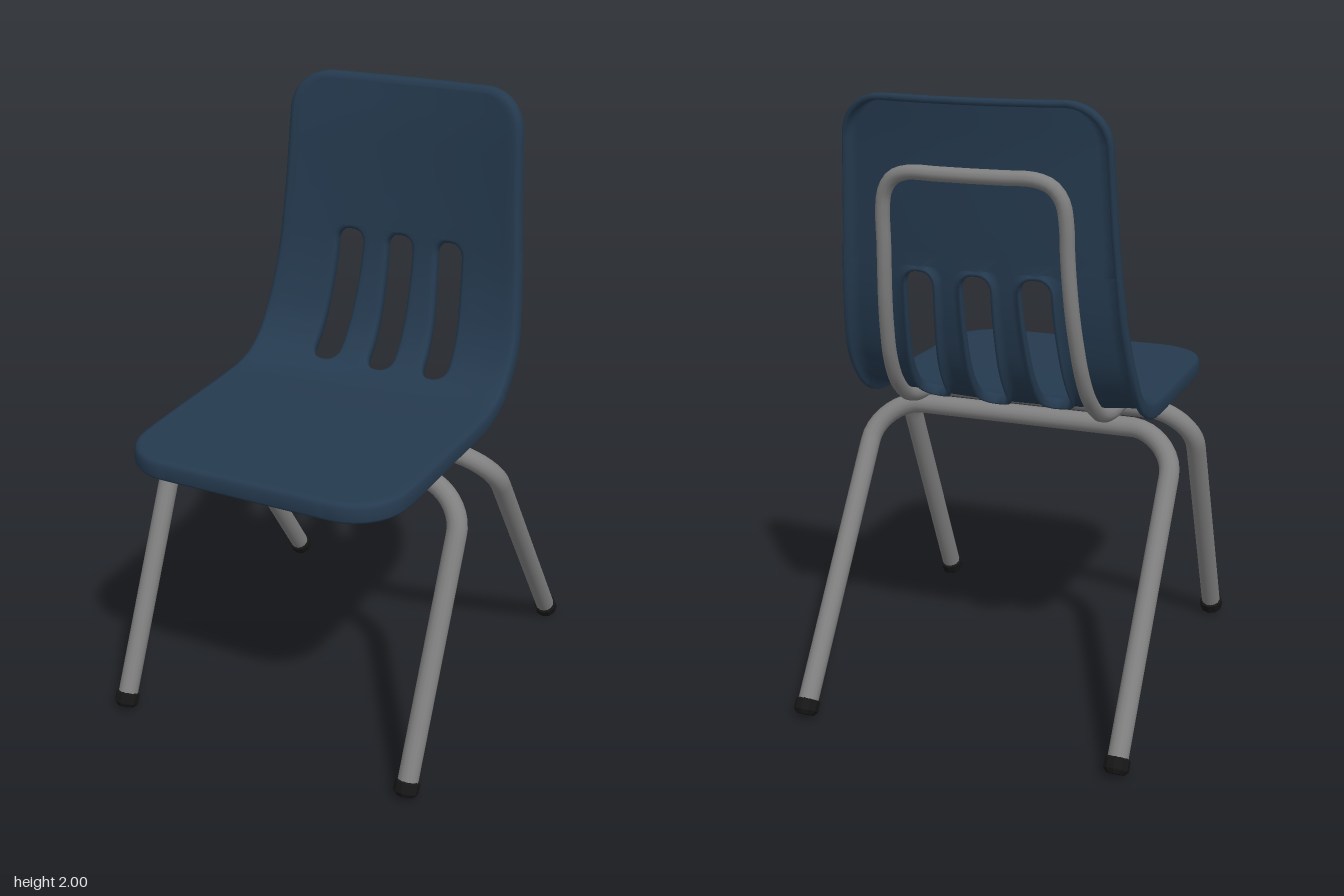
import * as THREE from 'three';

const V = (x, y, z) => new THREE.Vector3(x, y, z);
const { lerp, smoothstep } = THREE.MathUtils;

// side profile of the shell's upper surface, from seat front to top of back
const profile = new THREE.CatmullRomCurve3([
  [0.645, 1.003], [0.45, 1.008], [0.2, 1.015], [0, 1.02], [-0.1, 1.027], [-0.17, 1.047],
  [-0.24, 1.095], [-0.3, 1.18], [-0.34, 1.3], [-0.36, 1.4], [-0.375, 1.55], [-0.386, 1.7],
  [-0.396, 1.85], [-0.41, 1.98],
].map(([z, y]) => V(0, y, z)), false, 'centripetal');
profile.arcLengthDivisions = 400;
const LEN = profile.getLength();

// first distance along the profile where a test holds
function distanceWhere(test) {
  let i = 0;
  while (i < 1000 && !test(profile.getPointAt(i / 1000))) i++;
  return (i / 1000) * LEN;
}
const slotStart = distanceWhere((p) => p.z < -0.2);
const slotEnd = distanceWhere((p) => p.y > 1.485);
const SLOT_R = 0.055, FRONT_R = 0.14, TOP_R = 0.11;

// half width of the shell along the profile
const widths = [[0, 0.435], [0.2, 0.452], [0.7, 0.46], [1, 0.455], [1.2, 0.435], [1.45, 0.415], [1.9, 0.39]];
function halfWidth(s) {
  const i = Math.max(1, widths.findIndex((w) => w[0] >= s));
  const [a, wa] = widths[i - 1], [b, wb] = widths[i];
  return lerp(wa, wb, (s - a) / (b - a));
}
// inset that rounds a corner of radius r at distance e from the end
const cornerInset = (e, r) => (e >= r ? 0 : r - Math.sqrt(Math.max(0, r * r - (r - e) ** 2)));

function surfaceNormal(s) {
  const t = profile.getTangentAt(Math.min(1, s / LEN));
  return V(0, -t.z, t.y);
}
// point on the shell, with the back hollowed across its width; d is height above it
function surfacePoint(x, s, d = 0) {
  const dish = 0.035 * smoothstep(s, 0.55, 0.95) * (1 - (x / halfWidth(s)) ** 2);
  const p = profile.getPointAt(Math.min(1, s / LEN)).addScaledVector(surfaceNormal(s), d - dish);
  p.x = x;
  return p;
}

function shellGeometry() {
  // rows bunch up where corners are rounded
  const rows = [0];
  const addRows = (a, b, n, ease = (f) => f) => {
    for (let i = 1; i <= n; i++) rows.push(lerp(a, b, ease(i / n)));
  };
  const easeIn = (f) => 1 - Math.cos(f * Math.PI / 2);
  const easeOut = (f) => Math.sin(f * Math.PI / 2);
  addRows(0, FRONT_R, 7, easeIn);
  addRows(FRONT_R, slotStart, 16);
  const rowA = rows.length - 1;
  addRows(slotStart, slotStart + SLOT_R, 5, easeIn);
  addRows(slotStart + SLOT_R, slotEnd - SLOT_R, 14);
  addRows(slotEnd - SLOT_R, slotEnd, 5, easeOut);
  const rowB = rows.length - 1;
  addRows(slotEnd, LEN - TOP_R, 9);
  addRows(LEN - TOP_R, LEN, 7, easeOut);

  // seven strips across: the odd ones hold the slots
  const strips = [6, 4, 4, 4, 4, 4, 6];
  const starts = [0];
  strips.forEach((n) => starts.push(starts[starts.length - 1] + n));
  const cols = starts[7];
  const pos = [], index = [], count = rows.length * (cols + 1);
  const id = (c, r) => r * (cols + 1) + c;

  for (const depth of [0, -0.02]) {
    for (const s of rows) {
      const w = halfWidth(s) - cornerInset(s, FRONT_R) - cornerInset(LEN - s, TOP_R);
      const e = Math.min(s - slotStart, slotEnd - s);
      const hw = 0.062 - (e < -1e-6 ? 0 : cornerInset(Math.max(0, e), SLOT_R));
      const cx = lerp(0.207, 0.186, smoothstep(s, slotStart, slotEnd));
      const breaks = [-w, -cx - hw, -cx + hw, -hw, hw, cx - hw, cx + hw, w];
      strips.forEach((n, k) => {
        for (let i = 0; i < n + (k === 6 ? 1 : 0); i++) {
          pos.push(...surfacePoint(lerp(breaks[k], breaks[k + 1], i / n), s, depth).toArray());
        }
      });
    }
  }
  const quad = (a, b, c, d) => index.push(a, b, c, a, c, d);
  for (let r = 0; r < rows.length - 1; r++) {
    strips.forEach((n, k) => {
      if (k % 2 && r >= rowA && r < rowB) return;
      for (let c = starts[k]; c < starts[k + 1]; c++) {
        const q = [id(c, r), id(c + 1, r), id(c + 1, r + 1), id(c, r + 1)];
        quad(...q);
        quad(...q.map((v) => v + count).reverse());
      }
    });
  }

  // folded lip around a rectangular loop of the grid
  function lip(c0, c1, r0, r1, section, reverse) {
    const loop = [];
    for (let c = c0; c < c1; c++) loop.push([c, r0]);
    for (let r = r0; r < r1; r++) loop.push([c1, r]);
    for (let c = c1; c > c0; c--) loop.push([c, r1]);
    for (let r = r1; r > r0; r--) loop.push([c0, r]);
    if (reverse) loop.reverse();
    const at = (k) => V().fromArray(pos, 3 * id(...loop[(k + loop.length) % loop.length]));
    const rings = loop.map(([c, r], k) => {
      const s = rows[r], n = surfaceNormal(s), p = at(k);
      const out = at(k + 1).sub(at(k - 1)).cross(n).normalize();
      const scale = lerp(1, 0.7, s / LEN);
      const ring = [id(c, r)];
      for (const [o, d] of section) {
        ring.push(pos.length / 3);
        pos.push(...p.clone().addScaledVector(out, o).addScaledVector(n, d * scale).toArray());
      }
      ring.push(id(c, r) + count);
      return ring;
    });
    rings.forEach((a, k) => {
      const b = rings[(k + 1) % rings.length];
      for (let j = 0; j < a.length - 1; j++) quad(a[j], a[j + 1], b[j + 1], b[j]);
    });
  }
  lip(0, cols, 0, rows.length - 1,
    [[0.012, -0.004], [0.019, -0.016], [0.021, -0.052], [0.014, -0.062], [0.003, -0.056]], false);
  for (const k of [1, 3, 5]) {
    lip(starts[k], starts[k + 1], rowA, rowB, [[0.009, -0.004], [0.014, -0.014], [0.014, -0.042], [0.004, -0.044]], true);
  }

  const g = new THREE.BufferGeometry();
  g.setAttribute('position', new THREE.Float32BufferAttribute(pos, 3));
  g.setIndex(index);
  g.computeVertexNormals();
  return g;
}

export function createModel() {
  const model = new THREE.Group();
  model.name = 'chair';
  const material = (name, color) => Object.assign(new THREE.MeshStandardMaterial({ color }), { name });
  const navy = material('navy plastic', 0x253a4f);
  navy.side = THREE.DoubleSide;
  const steel = material('grey steel', 0x808080);
  const rubber = material('black rubber', 0x161616);
  const add = (name, geometry, mat, parent = model) => {
    const mesh = new THREE.Mesh(geometry, mat);
    mesh.name = name;
    parent.add(mesh);
    return mesh;
  };

  add('seatShell', shellGeometry(), navy);

  // bent tube under the seat and up behind the back
  const topS = distanceWhere((p) => p.y > 1.775);
  const half = [];
  for (let i = 0; i <= 14; i++) {
    const s = lerp(0.2, topS - 0.13, i / 14);
    half.push([lerp(0.33, 0.29, smoothstep(s, 0.7, 1.5)), s]);
  }
  half.push([0.28, topS - 0.065], [0.25, topS - 0.022], [0.2, topS - 0.002], [0.1, topS]);
  const path = [...half, [0, topS], ...half.map(([x, s]) => [-x, s]).reverse()]
    .map(([x, s]) => surfacePoint(x, s, -0.045));
  add('backSupport', new THREE.TubeGeometry(new THREE.CatmullRomCurve3(path, false, 'centripetal'), 160, 0.023, 10), steel);
  for (const p of [path[0], path[path.length - 1]]) {
    add('backSupportEnd', new THREE.SphereGeometry(0.023, 10, 8), steel).position.copy(p);
  }

  // leg frames: two legs and a crossbar bent from one tube, with rubber feet
  const footShape = new THREE.LatheGeometry(
    [[0, 0], [0.028, 0], [0.04, 0.013], [0.04, 0.045], [0.03, 0.052]].map(([x, y]) => new THREE.Vector2(x, y)), 10).toNonIndexed();
  footShape.computeVertexNormals();
  function legFrame(name, topZ, footZ, footY) {
    const frame = new THREE.Group();
    frame.name = name;
    model.add(frame);
    const X = 0.524, R = 0.15, topY = 0.903;
    const down = V(0, footY - topY, footZ - topZ);
    const length = down.length();
    down.normalize();
    const at = (x, t) => V(x, topY, topZ).addScaledVector(down, t);
    const tube = new THREE.CurvePath();
    const bend = (side) => [at(side * X, R), at(side * X, R * 0.45), at(side * (X - R * 0.55), 0), at(side * (X - R), 0)];
    const left = bend(1), right = bend(-1).reverse();
    tube.add(new THREE.LineCurve3(at(X, length - 0.02), left[0]));
    tube.add(new THREE.CubicBezierCurve3(...left));
    tube.add(new THREE.LineCurve3(left[3], right[0]));
    tube.add(new THREE.CubicBezierCurve3(...right));
    tube.add(new THREE.LineCurve3(right[3], at(-X, length - 0.02)));
    add('legTube', new THREE.TubeGeometry(tube, 120, 0.033, 14), steel, frame);
    for (const side of [1, -1]) {
      const foot = add('foot', footShape, rubber, frame);
      foot.position.copy(at(side * X, length));
      foot.quaternion.setFromUnitVectors(V(0, 1, 0), down.clone().negate());
    }
  }
  legFrame('frontLegs', 0.2, 0.605, 0.012);
  legFrame('rearLegs', -0.01, -0.64, 0.017);
  return model;
}
